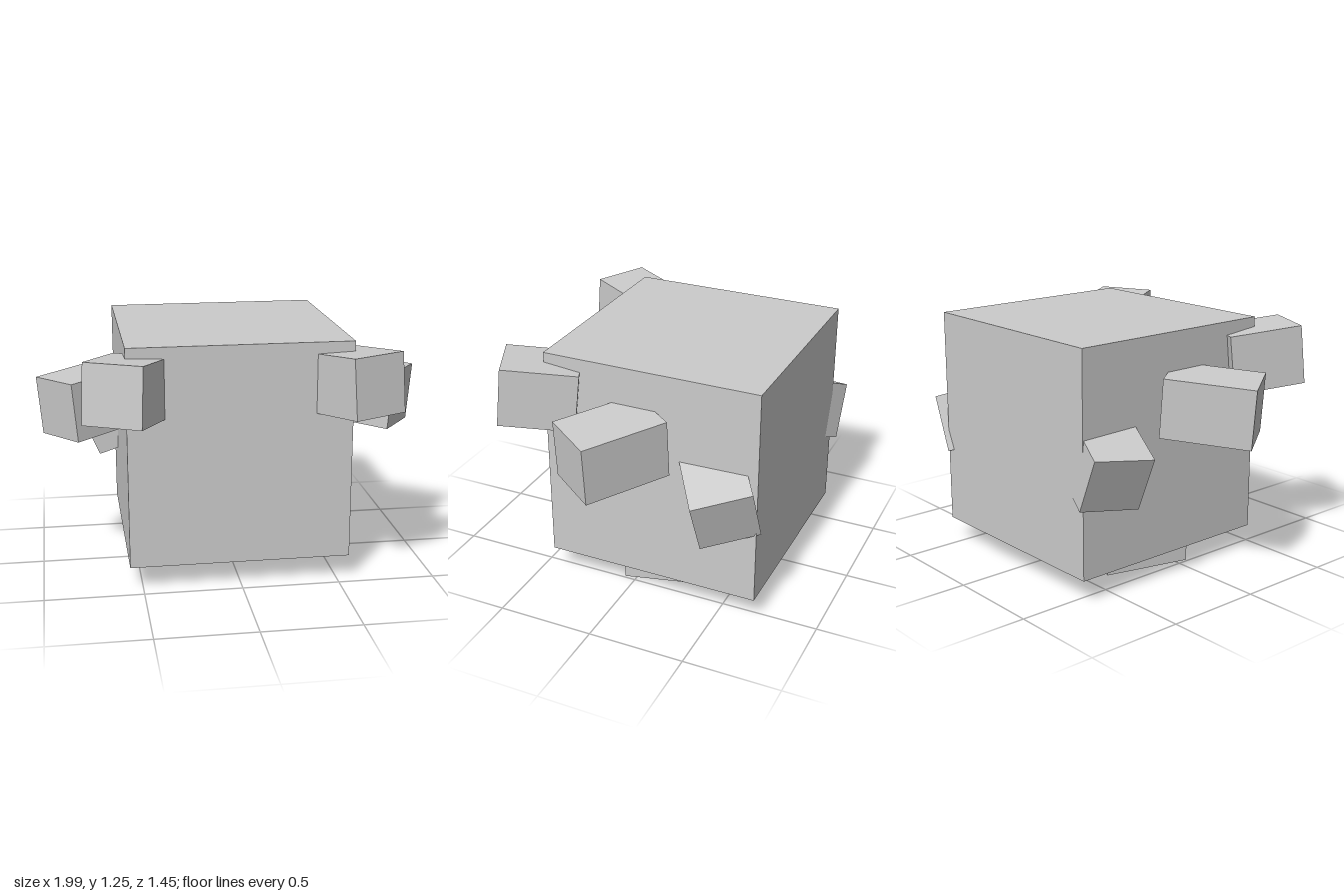
import * as THREE from 'three';

const material = new THREE.MeshStandardMaterial({ color: 0xcccccc, flatShading: true });
const v = (a) => new THREE.Vector3(...a);

function box(name, w, h, d) {
  const mesh = new THREE.Mesh(new THREE.BoxGeometry(w, h, d), material);
  mesh.name = name;
  return mesh;
}

// Square-ended block: the outer end starts at a top corner and spans "across" and "down";
// the block then runs inward, square to that end.
function arm(name, corner, across, down, length) {
  const mesh = box(name, 0.303, 0.3, length);
  const x = across.clone().normalize();
  const z = down.clone().cross(across).normalize(); // outward
  const y = z.clone().cross(x);
  mesh.quaternion.setFromRotationMatrix(new THREE.Matrix4().makeBasis(x, y, z));
  mesh.position.copy(corner)
    .addScaledVector(across, 0.5)
    .addScaledVector(down, 0.5)
    .addScaledVector(z, -length / 2);
  return mesh;
}

// Same arm on both sides
function armPair(name, corner, across, down, length) {
  const flip = new THREE.Vector3(-1, 1, 1);
  const c = v(corner), a = v(across), d = v(down);
  return [
    arm('left' + name, c, a, d, length),
    arm('right' + name, c.clone().add(a).multiply(flip), a.clone().negate().multiply(flip), d.clone().multiply(flip), length),
  ];
}

export function createModel() {
  const group = new THREE.Group();
  group.name = 'cubeCreature';

  // Body
  const body = box('body', 1.13, 1.13, 1.13);
  body.position.set(0, 0.685, -0.125);
  group.add(body);

  // Feet, toes turned out
  for (const side of [1, -1]) {
    const foot = box(side > 0 ? 'leftFoot' : 'rightFoot', 0.304, 0.2, 0.455);
    foot.position.set(side * 0.285, 0.1, -0.123);
    foot.rotation.y = side * 0.25;
    group.add(foot);
  }

  // Front and middle arms
  group.add(...armPair('FrontArm', [0.497, 1.22, 0.692], [0.275, 0, -0.13], [0.012, -0.3, 0.028], 0.38));
  group.add(...armPair('MiddleArm', [0.82, 1.035, 0.255], [0.175, -0.015, -0.25], [-0.025, -0.3, 0], 0.447));

  // Back arms, each at its own angle
  group.add(arm('leftBackArm', v([0.805, 0.715, -0.45]), v([-0.145, 0.065, -0.255]), v([-0.11, -0.275, 0]), 0.42));
  group.add(arm('rightBackArm', v([-0.7, 0.757, -0.725]), v([-0.085, -0.03, 0.285]), v([0.12, -0.275, 0]), 0.42));

  return group;
}
